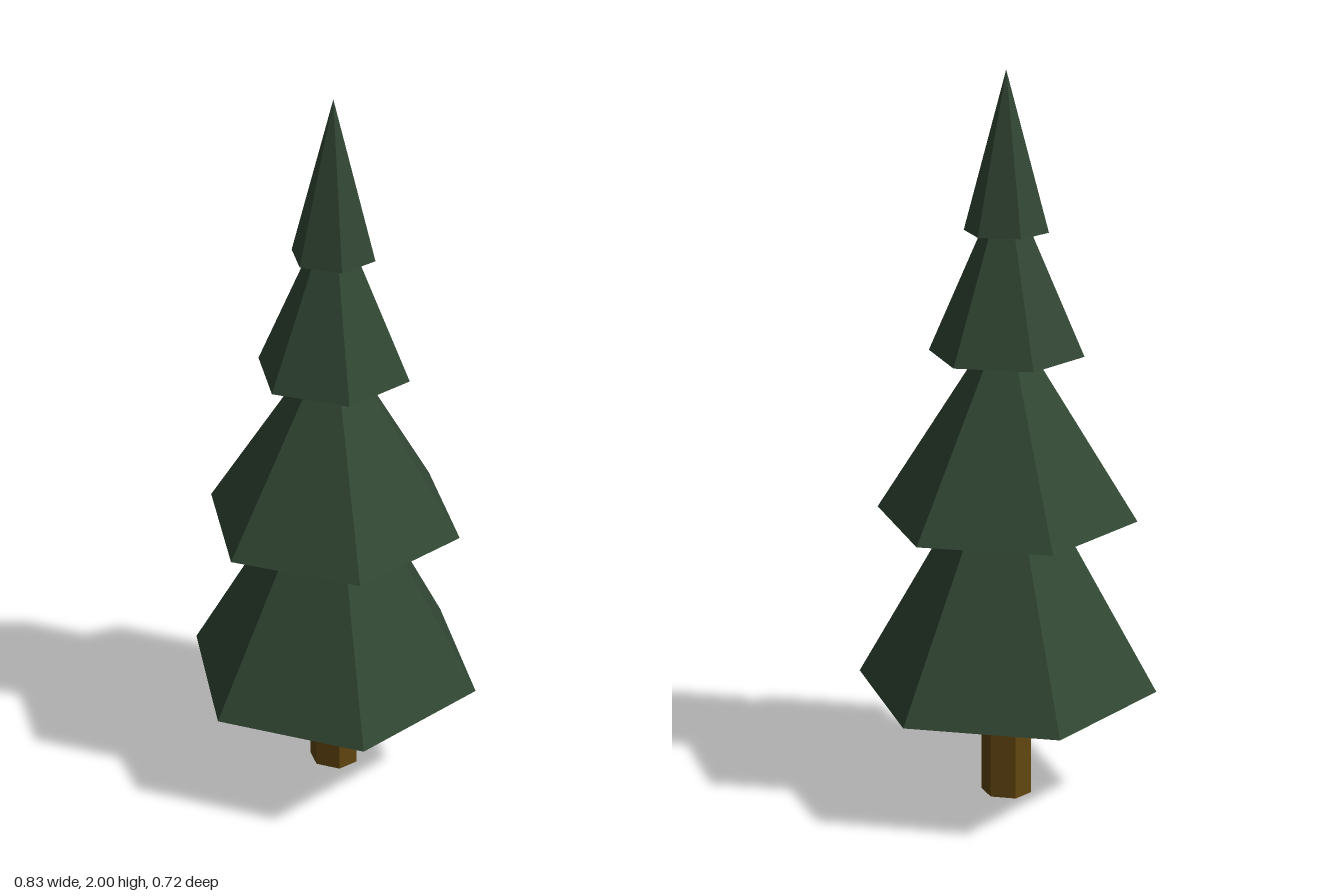
import * as THREE from 'three';

const SIDES = 6;

export function createModel() {
  const tree = new THREE.Group();
  tree.name = 'pineTree';

  const foliage = new THREE.MeshStandardMaterial({ color: 0x324734, flatShading: true });
  const bark = new THREE.MeshStandardMaterial({ color: 0x634710, flatShading: true });

  // Six-sided cone or prism standing on baseY, with corners on the x axis
  const addPart = (name, topRadius, radius, baseY, topY, material) => {
    const height = topY - baseY;
    const geometry = new THREE.CylinderGeometry(topRadius, radius, height, SIDES, 1, false, Math.PI / 2);
    geometry.translate(0, baseY + height / 2, 0);
    const mesh = new THREE.Mesh(geometry, material);
    mesh.name = name;
    tree.add(mesh);
    return mesh;
  };

  // Trunk, slightly flattened front to back
  addPart('trunk', 0.07, 0.07, 0, 0.33, bark).scale.z = 0.78;

  // Overlapping branch tiers: radius, base height, apex height
  const tiers = [
    [0.415, 0.33, 1.07],
    [0.355, 0.815, 1.377],
    [0.208, 1.26, 1.736],
    [0.112, 1.585, 2],
  ];
  tiers.forEach(([radius, baseY, topY], i) => {
    addPart(`branchTier${i + 1}`, 0, radius, baseY, topY, foliage);
  });

  return tree;
}
